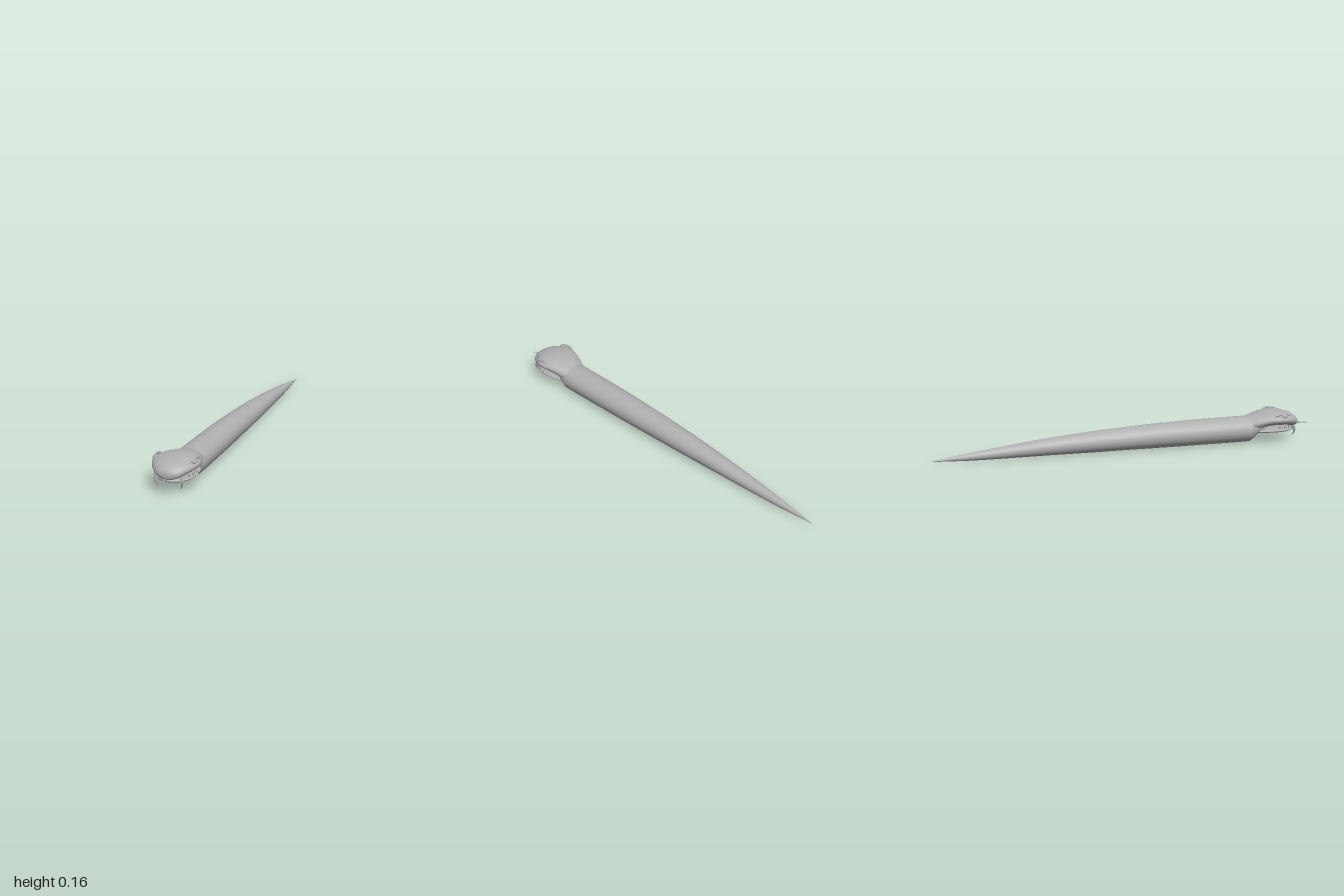
import * as THREE from 'three';

const skin = new THREE.MeshStandardMaterial({ color: 0xb0b0b0 });
skin.name = 'plain grey';

// Smooth skin through sections [z, halfWidth, top, middle, bottom], ordered tail to nose
function loft(name, sections, rings, sides = 40) {
  const curve = (pick) => new THREE.CatmullRomCurve3(sections.map(pick), false, 'catmullrom', 0.5);
  const a = curve((s) => new THREE.Vector3(s[0], s[1], s[2]));
  const b = curve((s) => new THREE.Vector3(s[0], s[3], s[4]));
  const pos = [], idx = [];
  for (let j = 0; j <= rings; j++) {
    const p = a.getPoint(j / rings), q = b.getPoint(j / rings);
    for (let i = 0; i < sides; i++) {
      const t = (i / sides) * Math.PI * 2, s = Math.sin(t);
      const h = s > 0 ? p.z - q.y : q.y - q.z;
      pos.push(p.y * Math.cos(t), q.y + h * s, p.x);
      if (j === rings) continue;
      const k = j * sides + i, n = j * sides + ((i + 1) % sides);
      idx.push(k, n, k + sides, n, n + sides, k + sides);
    }
  }
  const geo = new THREE.BufferGeometry();
  geo.setAttribute('position', new THREE.Float32BufferAttribute(pos, 3));
  geo.setIndex(idx);
  geo.computeVertexNormals();
  const mesh = new THREE.Mesh(geo, skin);
  mesh.name = name;
  return mesh;
}

// Tube along points that narrows to a tip
function taperedTube(name, points, r0, r1, segs = 16, sides = 10) {
  const curve = new THREE.CatmullRomCurve3(points.map((p) => new THREE.Vector3(...p)));
  const geo = new THREE.TubeGeometry(curve, segs, 1, sides);
  const pos = geo.attributes.position, v = new THREE.Vector3();
  for (let i = 0; i < pos.count; i++) {
    const t = Math.floor(i / (sides + 1)) / segs;
    const c = curve.getPointAt(t);
    v.fromBufferAttribute(pos, i).sub(c).multiplyScalar(r0 + (r1 - r0) * t).add(c);
    pos.setXYZ(i, v.x, v.y, v.z);
  }
  geo.computeVertexNormals();
  const mesh = new THREE.Mesh(geo, skin);
  mesh.name = name;
  return mesh;
}

function ball(name, x, y, z, sx, sy, sz) {
  const mesh = new THREE.Mesh(new THREE.SphereGeometry(1, 24, 16), skin);
  mesh.name = name;
  mesh.position.set(x, y, z);
  mesh.scale.set(sx, sy, sz);
  return mesh;
}

export function createModel() {
  const snake = new THREE.Group();
  snake.name = 'snake';

  // Long body tapering to the tail
  snake.add(loft('body', [
    [-1, 0.001, 0.014, 0.012, 0.01],
    [-0.8, 0.02, 0.043, 0.022, 0.003],
    [-0.6, 0.036, 0.068, 0.035, 0.002],
    [-0.4, 0.049, 0.09, 0.046, 0.002],
    [-0.2, 0.06, 0.107, 0.054, 0.001],
    [0, 0.068, 0.119, 0.06, 0.001],
    [0.2, 0.074, 0.128, 0.065, 0],
    [0.4, 0.078, 0.133, 0.068, 0],
    [0.6, 0.08, 0.135, 0.07, 0],
    [0.66, 0.079, 0.135, 0.07, 0.001],
  ], 90));

  // Throat closing the body and rising to the jaws
  snake.add(loft('neck', [
    [0.655, 0.079, 0.135, 0.07, 0.001],
    [0.675, 0.074, 0.134, 0.075, 0.012],
    [0.695, 0.071, 0.132, 0.082, 0.034],
    [0.72, 0.065, 0.125, 0.085, 0.052],
    [0.75, 0.05, 0.115, 0.09, 0.065],
    [0.77, 0.001, 0.1, 0.095, 0.09],
  ], 30));

  // Broad flattened skull with upper jaw
  snake.add(loft('head', [
    [0.62, 0.06, 0.125, 0.09, 0.06],
    [0.66, 0.071, 0.137, 0.095, 0.06],
    [0.7, 0.085, 0.148, 0.108, 0.066],
    [0.75, 0.102, 0.159, 0.119, 0.079],
    [0.8, 0.113, 0.162, 0.122, 0.084],
    [0.85, 0.102, 0.156, 0.119, 0.081],
    [0.89, 0.079, 0.144, 0.111, 0.075],
    [0.918, 0.052, 0.126, 0.101, 0.074],
    [0.93, 0.022, 0.11, 0.096, 0.082],
    [0.932, 0.001, 0.096, 0.095, 0.094],
  ], 72));

  // Thin lower jaw
  snake.add(loft('lowerJaw', [
    [0.67, 0.045, 0.07, 0.058, 0.045],
    [0.71, 0.075, 0.073, 0.062, 0.047],
    [0.76, 0.091, 0.074, 0.064, 0.048],
    [0.81, 0.095, 0.074, 0.065, 0.048],
    [0.85, 0.085, 0.073, 0.065, 0.049],
    [0.885, 0.058, 0.072, 0.064, 0.052],
    [0.902, 0.025, 0.069, 0.064, 0.057],
    [0.905, 0.001, 0.064, 0.063, 0.062],
  ], 48));

  // Thin roof of the mouth
  snake.add(ball('mouthLining', 0, 0.08, 0.79, 0.106, 0.003, 0.105));

  // Forked tongue
  const tongue = new THREE.Group();
  tongue.name = 'tongue';
  tongue.add(taperedTube('tongueStem', [[0, 0.078, 0.8], [0, 0.08, 0.9], [0, 0.081, 0.965]], 0.005, 0.003));
  snake.add(tongue);

  for (const s of [-1, 1]) {
    tongue.add(taperedTube('tongueTip',
      [[0, 0.081, 0.963], [s * 0.006, 0.081, 0.978], [s * 0.011, 0.081, 1]], 0.003, 0.0003));

    // Curved fangs
    snake.add(taperedTube('fang',
      [[s * 0.063, 0.088, 0.886], [s * 0.066, 0.062, 0.896], [s * 0.061, 0.04, 0.893], [s * 0.056, 0.026, 0.885]],
      0.011, 0.0006));

    // Small teeth along the upper jaw
    for (const [x, z] of [[0.084, 0.855], [0.093, 0.83], [0.097, 0.8]])
      snake.add(taperedTube('tooth', [[s * x, 0.09, z], [s * x, 0.08, z + 0.002], [s * x * 0.98, 0.072, z]], 0.006, 0.0005, 6, 8));

    // Eyes under raised brows
    snake.add(ball('eye', s * 0.095, 0.142, 0.825, 0.011, 0.011, 0.018));
    snake.add(taperedTube('brow',
      [[s * 0.094, 0.146, 0.775], [s * 0.096, 0.152, 0.805], [s * 0.091, 0.151, 0.835], [s * 0.082, 0.143, 0.862]],
      0.007, 0.003));
  }
  return snake;
}
